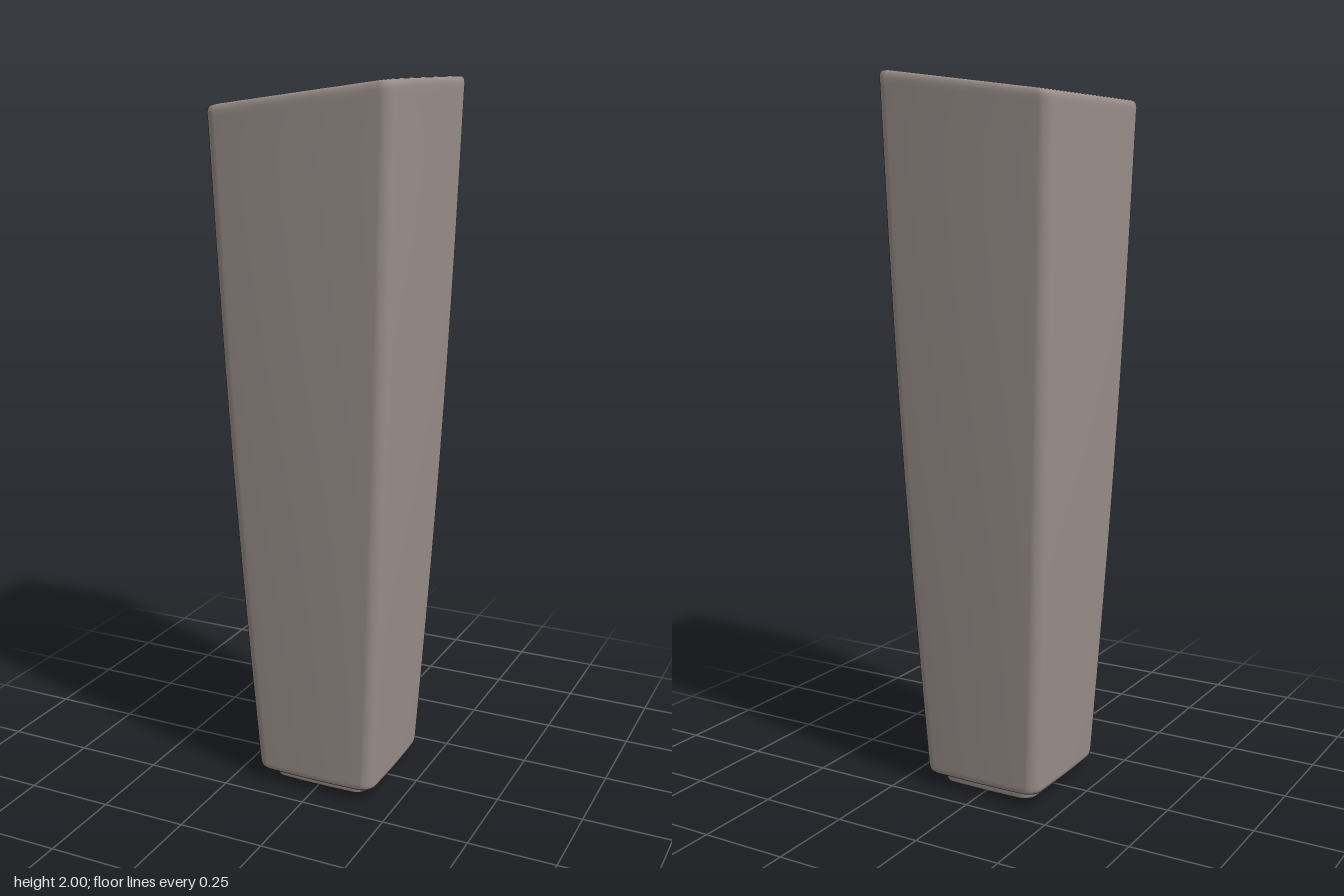
import * as THREE from 'three';

const CORNER_STEPS = 8, SIDE_STEPS = 8;

// Rounded square, its sides bowed slightly outward; returns [x, z] points
function section(half) {
  const r = Math.min(half * 0.3, 0.034), flat = half - r, pts = [];
  for (let k = 0; k < 4; k++) {
    const c = Math.cos(k * Math.PI / 2), s = Math.sin(k * Math.PI / 2);
    const add = (x, z) => {
      const q = half ? 1 / half : 0;
      const bx = x * (1 - 0.025 * (z * q) ** 2), bz = z * (1 - 0.025 * (x * q) ** 2);
      pts.push([bx * c - bz * s, bx * s + bz * c]);
    };
    for (let i = 0; i < SIDE_STEPS; i++) add(half, -flat + 2 * flat * i / SIDE_STEPS);
    for (let i = 0; i < CORNER_STEPS; i++) {
      const a = i / CORNER_STEPS * Math.PI / 2;
      add(flat + r * Math.cos(a), flat + r * Math.sin(a));
    }
  }
  return pts;
}

// Skin a list of [half width, height] rings; the slant grows toward the rim
function loft(profile) {
  const pos = [], index = [], n = 4 * (SIDE_STEPS + CORNER_STEPS);
  profile.forEach(([half, y], i) => {
    for (const [x, z] of section(half)) pos.push(x, y + 0.135 * x * (y / 1.96) ** 4, z);
    if (i === 0) return;
    for (let j = 0; j < n; j++) {
      const a = (i - 1) * n + j, b = (i - 1) * n + (j + 1) % n;
      index.push(a, a + n, b, b, a + n, b + n);
    }
  });
  const g = new THREE.BufferGeometry();
  g.setAttribute('position', new THREE.Float32BufferAttribute(pos, 3));
  g.setIndex(index);
  g.computeVertexNormals();
  return g;
}

// Gently swelling taper of the wall between two heights
function wall(y0, y1, h0, h1, steps) {
  return Array.from({ length: steps + 1 }, (_, i) => {
    const t = i / steps;
    return [h0 + (h1 - h0) * t + 0.008 * Math.sin(Math.PI * t), y0 + (y1 - y0) * t];
  });
}

export function createModel() {
  const ceramic = new THREE.MeshStandardMaterial({ color: 0x9a8f8b });
  ceramic.name = 'warm grey ceramic';
  const model = new THREE.Group();
  model.name = 'vase';
  const part = (name, profile) => {
    const mesh = new THREE.Mesh(loft(profile), ceramic);
    mesh.name = name;
    model.add(mesh);
  };

  // Recessed underside, foot ring and the ledge under the body
  part('foot', [
    [0, 0.014], [0.06, 0.014], [0.112, 0.014], [0.118, 0.012], [0.122, 0.004], [0.127, 0],
    [0.14, 0], [0.146, 0.003], [0.148, 0.01], [0.149, 0.026], [0.151, 0.031],
    [0.156, 0.033], [0.172, 0.033],
  ]);

  // Outer wall, rounded rim, inner wall and floor
  part('body', [
    [0.172, 0.033], [0.178, 0.034], [0.183, 0.039], [0.185, 0.047],
    ...wall(0.055, 1.93, 0.186, 0.268, 16),
    [0.269, 1.945], [0.267, 1.957], [0.262, 1.963], [0.256, 1.965], [0.25, 1.963],
    [0.245, 1.957], [0.243, 1.945],
    ...wall(0.085, 1.93, 0.165, 0.242, 16).reverse(),
    [0.163, 0.075], [0.158, 0.067], [0.15, 0.063], [0.14, 0.062], [0.07, 0.062], [0, 0.062],
  ]);
  return model;
}
